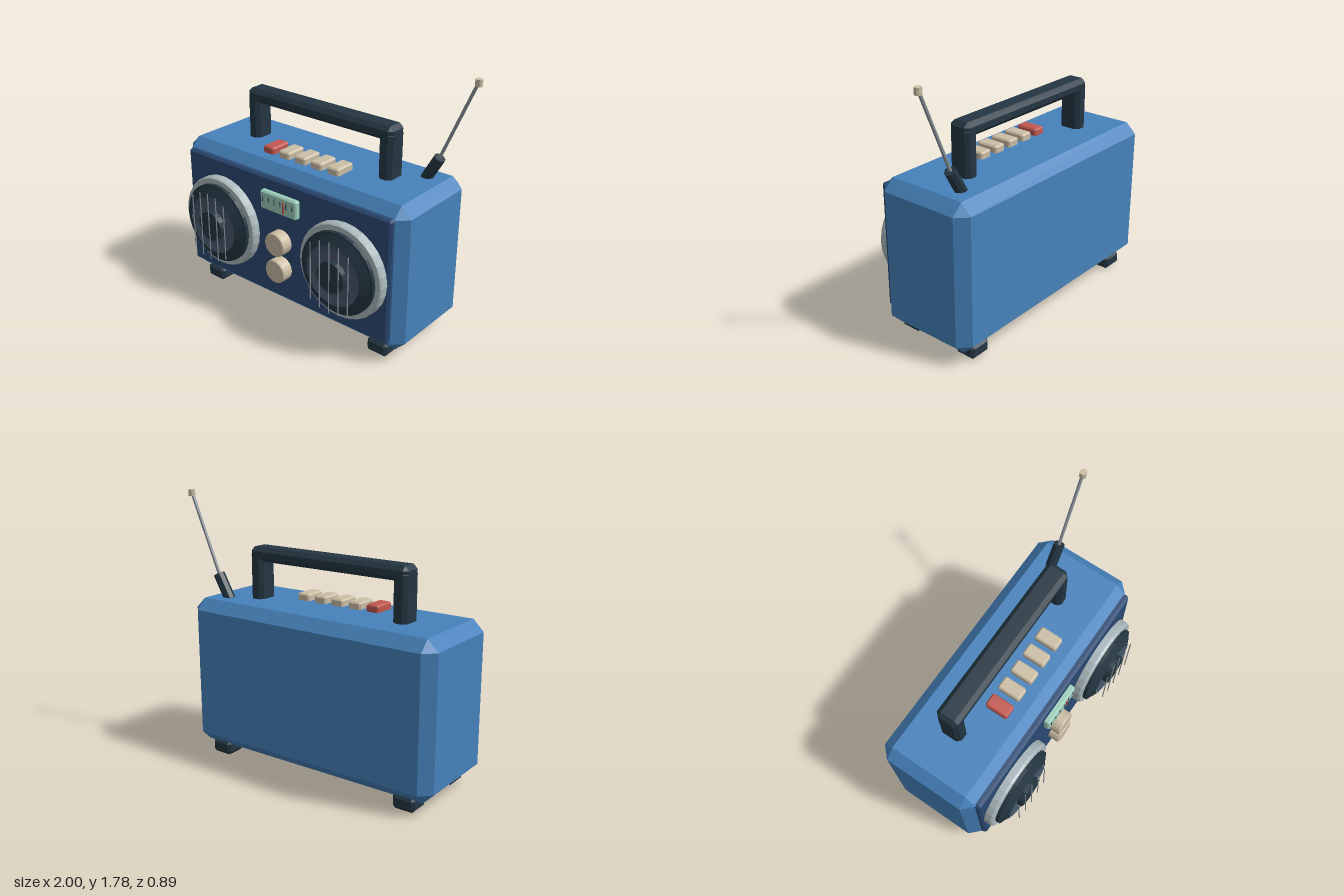
import * as THREE from 'three';
import { ConvexGeometry } from 'three/addons/geometries/ConvexGeometry.js';

const paint = (name, color) => {
  const m = new THREE.MeshStandardMaterial({ color });
  m.name = name;
  return m;
};

// Faceted copy of a geometry
function flat(geometry) {
  const g = geometry.index ? geometry.toNonIndexed() : geometry;
  g.computeVertexNormals();
  return g;
}

// Box with chamfered edges, given by its lower and upper limits
function chamferBox([x0, y0, z0], [x1, y1, z1], c) {
  const h = [(x1 - x0) / 2, (y1 - y0) / 2, (z1 - z0) / 2];
  const pts = [];
  for (const sx of [-1, 1]) for (const sy of [-1, 1]) for (const sz of [-1, 1])
    for (let full = 0; full < 3; full++) {
      const [x, y, z] = h.map((v, i) => (i === full ? v : v - c));
      pts.push(new THREE.Vector3(sx * x, sy * y, sz * z));
    }
  return new ConvexGeometry(pts).translate((x0 + x1) / 2, (y0 + y1) / 2, (z0 + z1) / 2);
}

// Lathe around the z axis; profile points are [radius, z]
function turned(profile, sides) {
  const pts = profile.map(([r, z]) => new THREE.Vector2(r, z));
  return flat(new THREE.LatheGeometry(pts, sides).rotateX(Math.PI / 2));
}

// Cylinder between two points
function rod(a, b, r, sides) {
  const from = new THREE.Vector3(...a), dir = new THREE.Vector3(...b).sub(from);
  const g = new THREE.CylinderGeometry(r, r, dir.length(), sides);
  g.applyQuaternion(new THREE.Quaternion().setFromUnitVectors(
    new THREE.Vector3(0, 1, 0), dir.clone().normalize()));
  const mid = from.addScaledVector(dir, 0.5);
  return flat(g.translate(mid.x, mid.y, mid.z));
}

export function createModel() {
  const model = new THREE.Group();
  model.name = 'radio';
  const blue = paint('body blue', 0x4682bc);
  const navy = paint('panel navy', 0x2b4a74);
  const dark = paint('dark plastic', 0x243642);
  const slate = paint('speaker slate', 0x465669);
  const silver = paint('ring silver', 0xaab8bc);
  const steel = paint('steel', 0x89939a);
  const cream = paint('cream', 0xcbbea5);
  const red = paint('red', 0xc25850);
  const mint = paint('dial mint', 0x9ccdbb);

  const add = (name, geometry, material, parent = model) => {
    const mesh = new THREE.Mesh(geometry, material);
    mesh.name = name;
    parent.add(mesh);
    return mesh;
  };
  const group = (name) => {
    const g = new THREE.Group();
    g.name = name;
    model.add(g);
    return g;
  };
  const cx = -0.073; // centre line of the case

  // Case and front panel
  add('case', chamferBox([-1, 0.078, -0.445], [0.854, 1.083, 0.25], 0.072), blue);
  add('frontPanel', chamferBox([-0.932, 0.16, 0.22], [0.786, 1.02, 0.28], 0.015), navy);

  // Feet
  for (const x of [-0.805, 0.657]) for (const z of [-0.328, 0.142])
    add('foot', chamferBox([x - 0.077, 0, z - 0.073], [x + 0.077, 0.097, z + 0.073], 0.02), dark);

  // Carrying handle
  const handle = group('handle');
  add('handleGrip', chamferBox([-0.677, 1.335, -0.2], [0.532, 1.43, -0.047], 0.028), dark, handle);
  for (const x of [-0.627, 0.482])
    add('handlePost', chamferBox([x - 0.05, 1.04, -0.2], [x + 0.05, 1.4, -0.047], 0.025), dark, handle);

  // Speakers
  for (const side of [-1, 1]) {
    const speaker = group(side < 0 ? 'rightSpeaker' : 'leftSpeaker');
    speaker.position.set(cx + side * 0.523, 0.583, 0);
    add('speakerRing', turned([[0.28, 0.27], [0.323, 0.27], [0.323, 0.325], [0.315, 0.34],
      [0.278, 0.34]], 28), silver, speaker);
    add('speakerSurround', turned([[0.28, 0.27], [0.28, 0.365], [0.265, 0.37],
      [0.205, 0.403]], 28), dark, speaker);
    add('speakerCone', turned([[0.205, 0.403], [0.16, 0.39], [0, 0.388]], 14), slate, speaker);
    add('speakerCap', turned([[0.105, 0.38], [0.105, 0.428], [0, 0.428]], 18), dark, speaker);
    // Grille bars, shortened to fit a circle
    for (let i = -2; i <= 2; i++) {
      const x = i * 0.0735, h = Math.sqrt(0.247 ** 2 - x * x);
      add('grilleBar', rod([x, -h, 0.437], [x, h, 0.437], 0.004, 6), steel, speaker);
    }
  }

  // Tuning dial
  const dial = group('tuningDial');
  add('dialWindow', chamferBox([-0.227, 0.802, 0.26], [0.082, 0.932, 0.318], 0.01), mint, dial);
  for (let i = 0; i < 6; i++)
    add('dialTick', new THREE.BoxGeometry(0.006, i % 2 ? 0.036 : 0.045, 0.006)
      .translate(cx + (i - 2.5) * 0.05, 0.88, 0.32), slate, dial);
  add('dialNeedle', new THREE.BoxGeometry(0.012, 0.08, 0.008).translate(-0.021, 0.862, 0.321), red, dial);

  // Knobs
  for (const y of [0.593, 0.395])
    add('knob', turned([[0.083, 0.27], [0.083, 0.352], [0.077, 0.36], [0, 0.36]], 20)
      .translate(cx, y, 0), cream);

  // Top buttons
  for (let i = 0; i < 5; i++) {
    const x = cx + (i - 2) * 0.136;
    add('button', chamferBox([x - 0.046, 1.06, -0.055], [x + 0.046, 1.13, 0.103], 0.01),
      i === 0 ? red : cream);
  }

  // Antenna
  const antenna = group('antenna'), az = -0.263;
  add('antennaBase', rod([0.656, 1.07, az], [0.749, 1.232, az], 0.038, 8), dark, antenna);
  add('antennaRod', rod([0.74, 1.216, az], [0.968, 1.75, az], 0.011, 8), steel, antenna);
  add('antennaTip', rod([0.974, 1.737, az], [0.974, 1.78, az], 0.023, 10), cream, antenna);

  return model;
}
